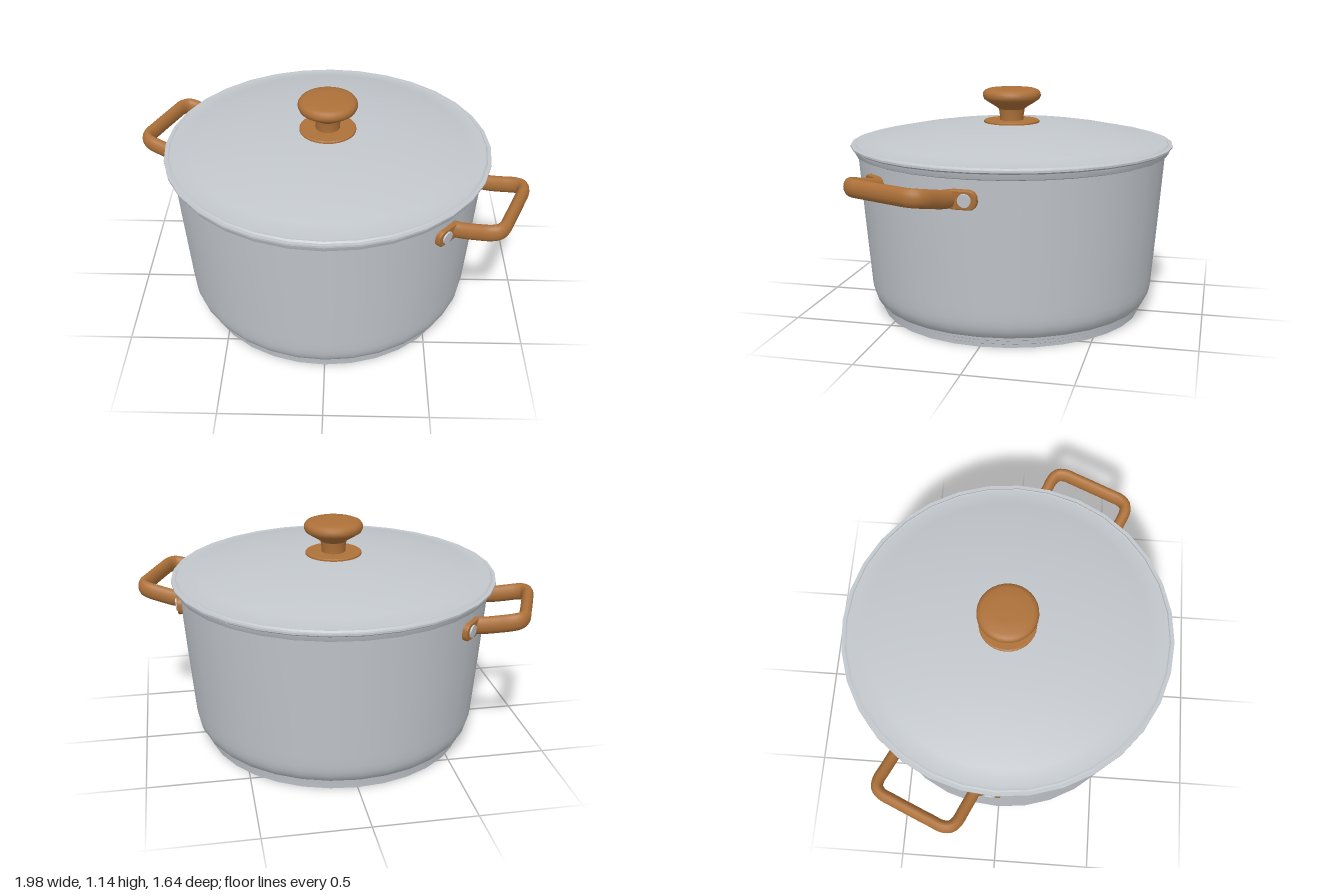
import * as THREE from 'three';
import { toCreasedNormals } from 'three/addons/utils/BufferGeometryUtils.js';

const steel = new THREE.MeshStandardMaterial({ color: 0xc2c7cc });
steel.name = 'brushed steel';
const wood = new THREE.MeshStandardMaterial({ color: 0xad7139 });
wood.name = 'warm wood';

function mesh(name, geometry, material) {
  const m = new THREE.Mesh(geometry, material);
  m.name = name;
  return m;
}

// Revolved part from [radius, height] pairs, listed from the underside round to the top
function turned(name, profile, material, sides = 32, crease = 0.5) {
  const points = profile.map(([r, y]) => new THREE.Vector2(r, y));
  return mesh(name, toCreasedNormals(new THREE.LatheGeometry(points, sides), crease), material);
}

function roundedRect(w, h, r) {
  const s = new THREE.Shape();
  s.absarc(w / 2 - r, h / 2 - r, r, 0, Math.PI / 2);
  s.absarc(-w / 2 + r, h / 2 - r, r, Math.PI / 2, Math.PI);
  s.absarc(-w / 2 + r, -h / 2 + r, r, Math.PI, Math.PI * 1.5);
  s.absarc(w / 2 - r, -h / 2 + r, r, Math.PI * 1.5, Math.PI * 2);
  return s;
}

// Handle pointing along +x: oval bar, two wall pads and their rivets
function createHandle(name) {
  const handle = new THREE.Group();
  handle.name = name;

  // The path is squashed in y, then stretched with the tube to give an oval section
  const stretch = 1.5;
  const half = [
    [0.73, 0.728, 0.215], [0.79, 0.732, 0.215], [0.86, 0.745, 0.215],
    [0.92, 0.758, 0.214], [0.955, 0.764, 0.2], [0.973, 0.766, 0.165], [0.975, 0.766, 0.1],
  ];
  const path = [...half, ...half.map(([x, y, z]) => [x, y, -z]).reverse()]
    .map(([x, y, z]) => new THREE.Vector3(x, y / stretch, z));
  const bar = new THREE.TubeGeometry(new THREE.CatmullRomCurve3(path), 64, 0.029, 14);
  bar.scale(1, stretch, 1);
  handle.add(mesh('handleBar', bar, wood));

  const padGeometry = new THREE.ExtrudeGeometry(roundedRect(0.135, 0.08, 0.032), {
    depth: 0.02, bevelEnabled: true, bevelThickness: 0.006, bevelSize: 0.006, bevelSegments: 2, curveSegments: 5,
  });
  padGeometry.rotateY(Math.PI / 2);
  const rivetGeometry = new THREE.CylinderGeometry(0.031, 0.035, 0.03, 16);
  rivetGeometry.rotateZ(-Math.PI / 2);

  for (const side of [-1, 1]) {
    const mount = new THREE.Group();
    mount.name = 'handleMount';
    mount.rotation.y = side * THREE.MathUtils.degToRad(19.8);
    const plate = new THREE.Group();
    plate.name = 'mountPlate';
    plate.position.set(0.768, 0.728, 0);
    plate.rotation.z = -0.08;
    const rivet = mesh('rivet', rivetGeometry, steel);
    rivet.position.set(0.019, 0, -side * 0.018);
    plate.add(mesh('handlePad', padGeometry, wood), rivet);
    mount.add(plate);
    handle.add(mount);
  }
  return handle;
}

export function createModel() {
  const model = new THREE.Group();
  model.name = 'cookingPot';

  // Stepped base, rounded shoulder, flared wall, rolled rim and inside wall
  model.add(turned('potBody', [
    [0, 0], [0.67, 0], [0.672, 0.018], [0.68, 0.022], [0.682, 0.038], [0.69, 0.042], [0.692, 0.056],
    [0.703, 0.068], [0.717, 0.092], [0.725, 0.118], [0.73, 0.15], [0.734, 0.2],
    [0.758, 0.5], [0.782, 0.818], [0.798, 0.824], [0.803, 0.836], [0.807, 0.85], [0.819, 0.858],
    [0.819, 0.867], [0.79, 0.867], [0.775, 0.83], [0.748, 0.5], [0.72, 0.15], [0.69, 0.07], [0, 0.06],
  ], steel));

  // Shallow domed lid
  model.add(turned('lid', [
    [0, 0.85], [0.8, 0.85], [0.802, 0.866], [0.794, 0.874], [0.782, 0.872], [0.7, 0.893], [0.6, 0.914],
    [0.5, 0.931], [0.4, 0.945], [0.3, 0.955], [0.2, 0.962], [0.1, 0.966], [0, 0.967],
  ], steel));

  // Knob with its washer
  model.add(turned('knobBase', [[0, 0.955], [0.142, 0.955], [0.142, 0.972], [0.137, 0.976], [0, 0.976]], wood));
  model.add(turned('knob', [
    [0, 0.97], [0.06, 0.97], [0.061, 1.0], [0.066, 1.032], [0.08, 1.044], [0.118, 1.067], [0.141, 1.083],
    [0.148, 1.098], [0.147, 1.114], [0.138, 1.127], [0.12, 1.134], [0.06, 1.136], [0, 1.136],
  ], wood, 32, 0.7));

  // Two opposite handles
  const turn = -THREE.MathUtils.degToRad(23.5);
  const left = createHandle('leftHandle');
  left.rotation.y = turn;
  const right = createHandle('rightHandle');
  right.rotation.y = turn + Math.PI;
  model.add(left, right);

  return model;
}
